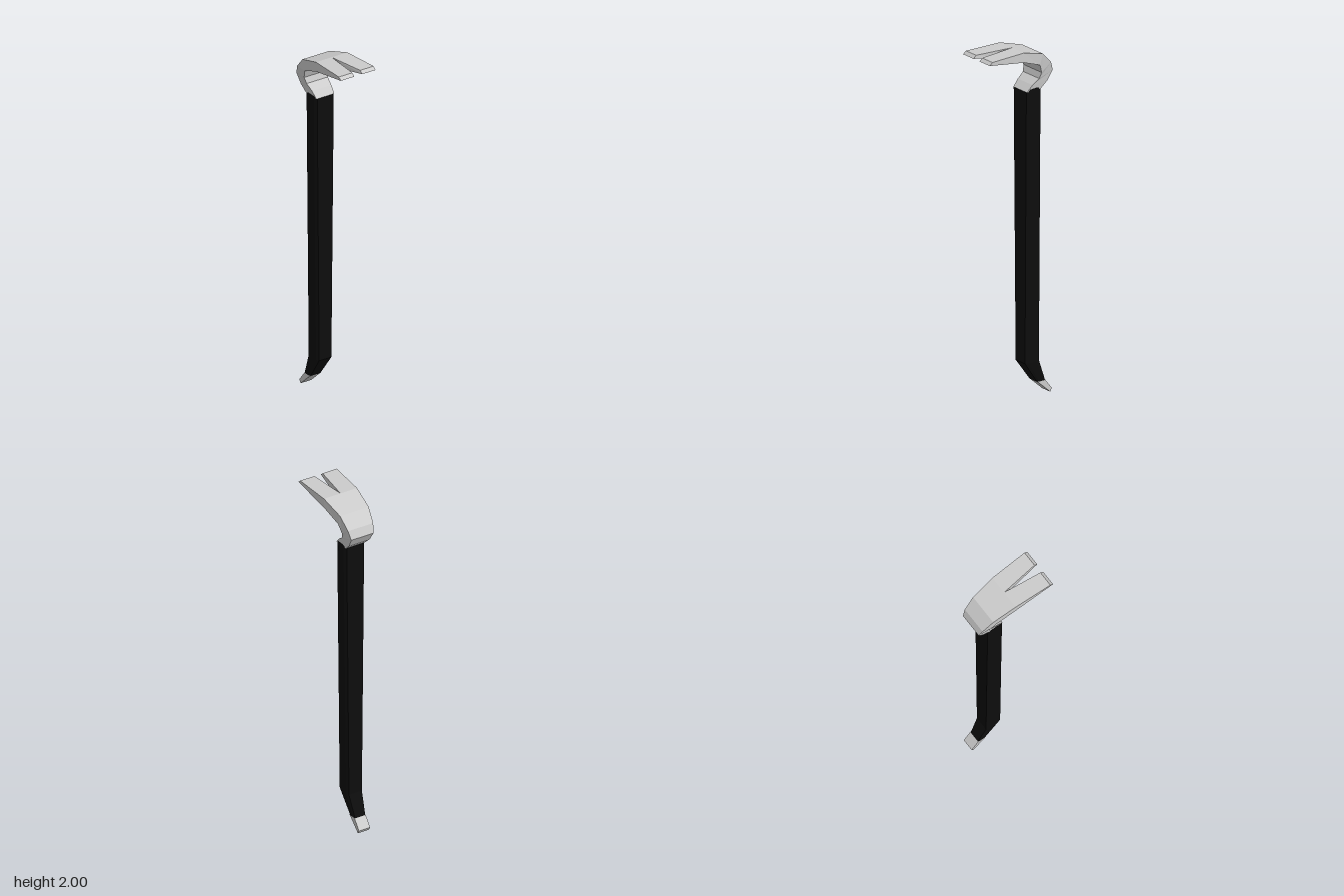
import * as THREE from 'three';

const steel = new THREE.MeshStandardMaterial({ color: 0xcccccc, flatShading: true });
const paint = new THREE.MeshStandardMaterial({ color: 0x0d0d0d, flatShading: true });

// Skins a list of equal-length cross-sections and caps both ends
function loft(name, rings, material) {
  const n = rings[0].length;
  const index = [];
  for (let i = 0; i < rings.length - 1; i++) {
    for (let j = 0; j < n; j++) {
      const k = (j + 1) % n;
      const a = i * n + j, b = i * n + k, c = b + n, d = a + n;
      index.push(a, b, c, a, c, d);
    }
  }
  const last = (rings.length - 1) * n;
  for (let j = 1; j < n - 1; j++) {
    index.push(0, j + 1, j, last, last + j, last + j + 1);
  }
  const geometry = new THREE.BufferGeometry();
  geometry.setAttribute('position', new THREE.Float32BufferAttribute(rings.flat(2), 3));
  geometry.setIndex(index);
  const flat = geometry.toNonIndexed();
  flat.computeVertexNormals();
  const mesh = new THREE.Mesh(flat, material);
  mesh.name = name;
  return mesh;
}

// Four-sided section between x0 and x1; outer and inner are [z, y]
const bar = (x0, x1, outer, inner) => [
  [x0, outer[1], outer[0]], [x1, outer[1], outer[0]],
  [x1, inner[1], inner[0]], [x0, inner[1], inner[0]],
];

// Eight-sided section with bevelled corners; lift raises the side faces
function bevelled(w, back, front, lift) {
  const f = w * 0.88;
  const at = (x, t, up) => [
    x,
    back[1] + (front[1] - back[1]) * t + up,
    back[0] + (front[0] - back[0]) * t,
  ];
  return [
    at(-f, 0, 0), at(f, 0, 0), at(w, 0.22, lift), at(w, 0.78, lift),
    at(f, 1, 0), at(-f, 1, 0), at(-w, 0.78, lift), at(-w, 0.22, lift),
  ];
}

export function createModel() {
  const model = new THREE.Group();
  model.name = 'pryBar';

  // Curved claw neck: half width, outer [z, y], inner [z, y]
  const neck = [
    [0.104, [0, 2], [0, 1.945]],
    [0.09, [-0.14, 1.96], [-0.12, 1.9]],
    [0.079, [-0.203, 1.895], [-0.14, 1.85]],
    [0.07, [-0.222, 1.845], [-0.13, 1.815]],
    [0.064, [-0.19, 1.79], [-0.09, 1.785]],
    [0.059, [-0.15, 1.752], [-0.056, 1.748]],
  ];
  model.add(loft('clawNeck', neck.map(([w, o, i]) => bar(-w, w, o, i)), steel));

  // Two prongs either side of the V notch
  const tipTop = [0.222, 2], tipBottom = [0.24, 1.984];
  for (const side of [1, -1]) {
    const section = (inner, outer, o, i) =>
      side > 0 ? bar(inner, outer, o, i) : bar(-outer, -inner, o, i);
    model.add(loft(side > 0 ? 'leftProng' : 'rightProng', [
      section(0.026, 0.115, tipTop, tipBottom),
      section(0, 0.104, neck[0][1], neck[0][2]),
    ], steel));
  }

  // Painted shaft, tapering down to the bent foot
  model.add(loft('shaft', [
    bevelled(0.062, [-0.151, 1.753], [-0.055, 1.748], 0.011),
    bevelled(0.046, [-0.151, 0.2], [-0.057, 0.2], 0),
    bevelled(0.036, [-0.199, 0.075], [-0.145, 0.075], 0),
  ], paint));

  // Bare chisel tip
  model.add(loft('chiselTip', [
    bar(-0.035, 0.035, [-0.198, 0.076], [-0.146, 0.076]),
    bar(-0.035, 0.035, [-0.243, 0.02], [-0.232, 0]),
  ], steel));

  return model;
}
